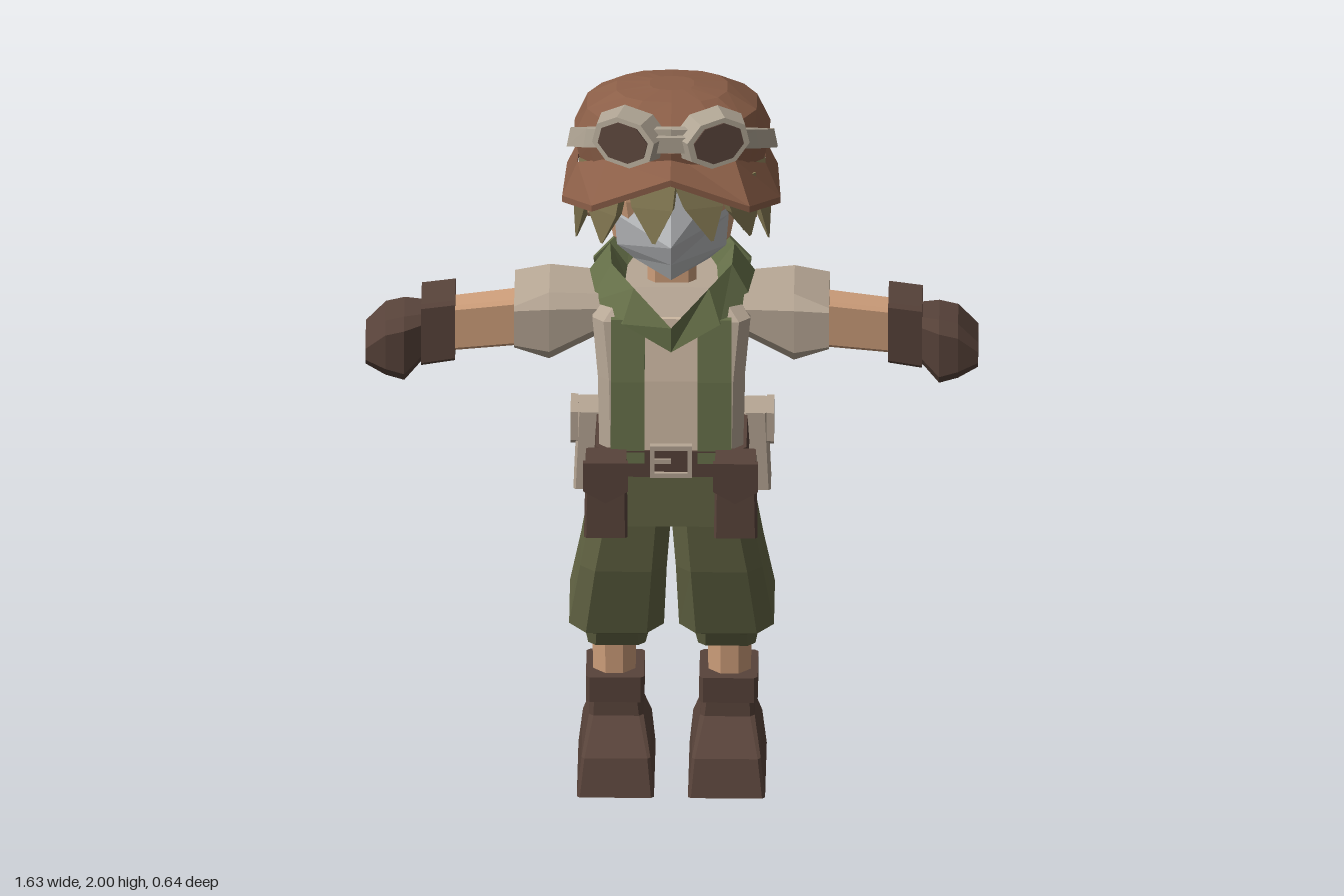
import * as THREE from 'three';

const mat = (name, color, side = THREE.FrontSide) => {
  const m = new THREE.MeshStandardMaterial({ color, side });
  m.name = name;
  return m;
};

export function createModel() {
  const root = new THREE.Group();
  const M = {
    skin: mat('skin', 0xcf9f7b), leather: mat('darkLeather', 0x58433a), hat: mat('hatBrown', 0x8c5f48),
    pants: mat('trouserGreen', 0x636544), scarf: mat('scarfGreen', 0x667049, THREE.DoubleSide),
    shirt: mat('shirtBeige', 0xb7a795), panel: mat('paleLinen', 0xcdb8a2), hair: mat('hairOlive', 0x8c8058),
    goggle: mat('goggleFrame', 0xb0a594), mask: mat('maskGrey', 0xb8babc),
  };

  // Faceted mesh from any geometry
  const add = (name, material, geo, parent = root) => {
    const g = geo.index ? geo.toNonIndexed() : geo;
    g.computeVertexNormals();
    const mesh = new THREE.Mesh(g, material);
    mesh.name = name;
    parent.add(mesh);
    return mesh;
  };
  const box = (name, m, x0, x1, y0, y1, z0, z1) => add(name, m,
    new THREE.BoxGeometry(x1 - x0, y1 - y0, z1 - z0).translate((x0 + x1) / 2, (y0 + y1) / 2, (z0 + z1) / 2));

  // Skin a list of point loops; s mirrors in x, faces are turned outward by volume sign
  const loft = (name, m, rings, s = 1, caps = true) => {
    const P = rings.map(r => r.map(p => [p[0] * s, p[1], p[2]]));
    const tris = [], n = P[0].length;
    for (let i = 0; i + 1 < P.length; i++) for (let j = 0; j < n; j++) {
      const k = (j + 1) % n;
      tris.push([P[i][j], P[i][k], P[i + 1][k]], [P[i][j], P[i + 1][k], P[i + 1][j]]);
    }
    if (caps) for (const [r, flip] of [[P[0], true], [P[P.length - 1], false]]) {
      const c = [0, 1, 2].map(a => r.reduce((t, p) => t + p[a], 0) / n);
      for (let j = 0; j < n; j++) {
        const k = (j + 1) % n;
        tris.push(flip ? [c, r[k], r[j]] : [c, r[j], r[k]]);
      }
    }
    let vol = 0;
    for (const [a, b, c] of tris) vol += a[0] * (b[1] * c[2] - b[2] * c[1])
      + a[1] * (b[2] * c[0] - b[0] * c[2]) + a[2] * (b[0] * c[1] - b[1] * c[0]);
    const out = tris.flatMap(([a, b, c]) => (vol < 0 ? [a, c, b] : [a, b, c])).flat();
    const g = new THREE.BufferGeometry();
    g.setAttribute('position', new THREE.Float32BufferAttribute(out, 3));
    return add(name, m, g);
  };
  // Chamfered rectangle loops: across y, or across x for the arms; tilt raises the back edge
  const ry = (y, x0, x1, z0, z1, c = 0.03, tilt = 0) => [
    [x0 + c, z0], [x1 - c, z0], [x1, z0 + c], [x1, z1 - c], [x1 - c, z1], [x0 + c, z1], [x0, z1 - c], [x0, z0 + c],
  ].map(([x, z]) => [x, y - tilt * z, z]);
  const rx = (x, y0, y1, z0, z1, c = 0.02) => ry(x, y0, y1, z0, z1, c).map(([a, b, d]) => [b, a, d]);
  // Full loop from a half running front to back
  const half = pts => [...pts, ...pts.slice(1, -1).reverse().map(([x, y, z]) => [-x, y, z])];

  // Torso, shirt front and braces
  loft('shirt', M.shirt, [ry(0.94, -0.19, 0.19, -0.11, 0.2), ry(1.2, -0.195, 0.195, -0.115, 0.185),
    ry(1.36, -0.21, 0.21, -0.12, 0.16), ry(1.43, -0.15, 0.15, -0.1, 0.09)]);
  const strip = (name, m, x0, x1, t) => loft(name, m, [[0.97, 0.2], [1.2, 0.185], [1.37, 0.158]].map(
    ([y, z]) => ry(y, x0, x1, z - 0.01, z + t, 0)));
  strip('shirtFront', M.panel, -0.075, 0.075, 0.005);
  for (const s of [-1, 1]) strip('brace', M.scarf, s * 0.115 - 0.045, s * 0.115 + 0.045, 0.012);

  // Scarf collar and rear drape
  const top = [[0, 1.36, 0.2], [0.1, 1.45, 0.14], [0.16, 1.48, 0.05], [0.165, 1.49, -0.06], [0.11, 1.53, -0.12], [0, 1.53, -0.13]];
  loft('scarfCollar', M.scarf, [
    half([[0, 1.29, 0.2], [0.13, 1.36, 0.175], [0.22, 1.38, 0.08], [0.225, 1.4, -0.07], [0.14, 1.4, -0.13], [0, 1.4, -0.15]]),
    half(top), half(top.map(([x, y, z]) => [x * 0.72, y - 0.06, z * 0.78]))], 1, false);
  const drape = [[0, 1.52, -0.14], [0.12, 1.52, -0.125], [0.21, 1.43, -0.105], [0.165, 1.2, -0.15], [0, 1.0, -0.175]];
  loft('scarfDrape', M.scarf, [half(drape), half(drape.map(([x, y, z]) => [x, y, z + 0.015]))]);

  // Belt and buckle
  loft('belt', M.leather, [ry(0.93, -0.205, 0.205, -0.12, 0.21), ry(1.005, -0.2, 0.2, -0.12, 0.21)]);
  const rect = (C, w, h) => new C([[-w, -h], [w, -h], [w, h], [-w, h]].map(p => new THREE.Vector2(...p)));
  const frame = rect(THREE.Shape, 0.056, 0.046);
  frame.holes.push(rect(THREE.Path, 0.044, 0.033));
  add('buckle', M.shirt, new THREE.ExtrudeGeometry(frame, { depth: 0.02, bevelEnabled: false })).position.set(0, 0.98, 0.205);
  box('bucklePlate', M.leather, -0.05, 0.05, 0.94, 1.02, 0.2, 0.214);
  box('bucklePin', M.shirt, -0.044, 0, 0.974, 0.986, 0.21, 0.222);

  // Trouser seat
  loft('trouserSeat', M.pants, [ry(0.78, -0.215, 0.215, -0.1, 0.2, 0.04), ry(0.95, -0.195, 0.195, -0.11, 0.2)]);

  for (const s of [-1, 1]) {
    // Trouser leg gathered into a cuff
    loft('trouserLeg', M.pants, [ry(0.8, 0, 0.214, -0.1, 0.2, 0.04), ry(0.64, 0.012, 0.242, -0.11, 0.185, 0.04),
      ry(0.465, 0.02, 0.272, -0.147, 0.14, 0.045, 0.18), ry(0.41, 0.06, 0.23, -0.105, 0.08, 0.03), ry(0.367, 0.07, 0.222, -0.095, 0.06, 0.02)], s);
    const shin = add('shin', M.skin, new THREE.CylinderGeometry(0.064, 0.06, 0.2, 8).rotateY(Math.PI / 8));
    shin.position.set(s * 0.153, 0.32, -0.018);
    // Boot and its cuff
    loft('boot', M.leather, [ry(0, 0.045, 0.25, -0.13, 0.232, 0.008), ry(0.1, 0.055, 0.238, -0.122, 0.2, 0.008),
      ry(0.158, 0.075, 0.22, -0.1, 0.055, 0.012), ry(0.215, 0.082, 0.218, -0.1, 0.05, 0.012)], s);
    loft('bootCuff', M.leather, [ry(0.203, 0.073, 0.228, -0.115, 0.067, 0.01), ry(0.275, 0.073, 0.228, -0.115, 0.067, 0.01)], s);

    // Belt pouches, dark in front and pale at the hip
    loft('frontPouch', M.leather, [ry(0.79, 0.115, 0.23, 0.2, 0.295, 0.006), ry(1.01, 0.118, 0.226, 0.2, 0.285, 0.006)], s);
    loft('frontPouchFlap', M.leather, [0.285, 0.304].map(z =>
      [[0.113, 1.012, z], [0.232, 1.012, z], [0.232, 0.93, z], [0.172, 0.895, z], [0.113, 0.93, z]]), s);
    loft('hipPouch', M.shirt, [ry(0.785, 0.19, 0.262, -0.133, -0.022, 0.006), ry(1.01, 0.19, 0.252, -0.133, -0.022, 0.006)], s);
    loft('hipPouchFlap', M.shirt, [0.25, 0.27].map(x =>
      [[x, 1.012, -0.137], [x, 1.012, -0.018], [x, 0.93, -0.018], [x, 0.895, -0.078], [x, 0.93, -0.137]]), s);

    // Sleeve, forearm and glove
    loft('sleeve', M.shirt, [rx(0.17, 1.3, 1.405, -0.1, 0.11, 0.03), rx(0.325, 1.222, 1.415, -0.12, 0.13, 0.035),
      rx(0.418, 1.265, 1.385, -0.12, 0.13, 0.01)], s);
    loft('forearm', M.skin, [rx(0.38, 1.238, 1.372, -0.045, 0.05, 0.01), rx(0.6, 1.215, 1.345, -0.04, 0.045, 0.01)], s);
    loft('gloveCuff', M.leather, [rx(0.575, 1.205, 1.38, -0.075, 0.083, 0.01), rx(0.665, 1.19, 1.368, -0.075, 0.083, 0.01)], s);
    loft('glove', M.leather, [rx(0.65, 1.21, 1.33, -0.06, 0.07), rx(0.71, 1.145, 1.33, -0.085, 0.1, 0.03),
      rx(0.76, 1.16, 1.318, -0.085, 0.1, 0.03), rx(0.813, 1.19, 1.262, -0.075, 0.085, 0.02)], s);
  }

  // Neck, head, ears
  loft('neck', M.skin, [ry(1.36, -0.065, 0.065, -0.06, 0.06, 0.02), ry(1.56, -0.065, 0.065, -0.06, 0.06, 0.02)]);
  loft('head', M.skin, [ry(1.5, -0.09, 0.09, -0.08, 0.09), ry(1.57, -0.155, 0.155, -0.12, 0.12, 0.05),
    ry(1.7, -0.18, 0.18, -0.14, 0.14, 0.06), ry(1.86, -0.17, 0.17, -0.14, 0.13, 0.06)]);
  for (const s of [-1, 1]) loft('ear', M.skin, [rx(0.165, 1.6, 1.68, -0.04, 0.0, 0.01), rx(0.225, 1.585, 1.705, -0.075, 0.0, 0.02)], s);

  // Pointed face mask
  loft('faceMask', M.mask, [
    [[0, 1.49, 0.175], [0.1, 1.52, 0.1], [0, 1.51, 0.05]], [[0, 1.55, 0.21], [0.145, 1.555, 0.09], [0, 1.56, 0.05]],
    [[0, 1.615, 0.245], [0.152, 1.65, 0.1], [0, 1.62, 0.05]], [[0, 1.78, 0.165], [0.13, 1.75, 0.12], [0, 1.77, 0.05]]].map(half));

  // Hair: back cap and tapered locks
  loft('hairCap', M.hair, [ry(1.58, -0.165, 0.165, -0.165, -0.06, 0.04), ry(1.68, -0.2, 0.2, -0.185, -0.05, 0.05),
    ry(1.83, -0.2, 0.2, -0.19, 0.06, 0.05)]);
  const lock = (a, b, w, t = 0.03) => {
    const l = Math.hypot(a[0], a[2]), n = [a[0] / l, a[2] / l];
    loft('hairLock', M.hair, [[0, 1], [0.5, 0.8], [1, 0.06]].map(([f, k]) => {
      const c = a.map((v, i) => v + (b[i] - v) * f);
      return [[-1, -1], [1, -1], [1, 1], [-1, 1]].map(([u, v]) => {
        const p = u * w * k / 2, q = v * t * k / 2;
        return [c[0] - n[1] * p + n[0] * q, c[1], c[2] + n[0] * p + n[1] * q];
      });
    }));
  };
  lock([-0.17, 1.8, 0.19], [-0.185, 1.6, 0.18], 0.13);
  lock([-0.05, 1.83, 0.22], [-0.045, 1.635, 0.26], 0.14);
  lock([0.06, 1.83, 0.22], [0.11, 1.64, 0.25], 0.13);
  lock([0.17, 1.8, 0.19], [0.21, 1.62, 0.17], 0.12);
  lock([0, 1.74, -0.18], [0.02, 1.52, -0.2], 0.14, 0.05);
  for (const s of [-1, 1]) {
    lock([s * 0.19, 1.78, 0.06], [s * 0.19, 1.57, 0.03], 0.06);
    lock([s * 0.2, 1.75, -0.1], [s * 0.255, 1.49, -0.1], 0.1, 0.05);
    lock([s * 0.17, 1.74, -0.15], [s * 0.19, 1.53, -0.17], 0.12, 0.05);
    lock([s * 0.1, 1.74, -0.18], [s * 0.11, 1.49, -0.225], 0.14, 0.05);
  }

  // Cap crown: squarish ovals sloping down to the back
  const oval = (yF, yB, r, zF, zB) => Array.from({ length: 14 }, (_, i) => {
    const a = i / 14 * Math.PI * 2, soft = v => Math.sign(v) * Math.abs(v) ** 0.8;
    const z = (zF + zB) / 2 + soft(Math.cos(a)) * (zF - zB) / 2;
    return [soft(Math.sin(a)) * r, yB + (yF - yB) * (z - zB) / (zF - zB), z];
  });
  loft('hatCrown', M.hat, [oval(1.84, 1.7, 0.25, 0.235, -0.29), oval(1.89, 1.79, 0.265, 0.24, -0.315),
    oval(1.95, 1.9, 0.23, 0.2, -0.235), oval(1.985, 1.965, 0.15, 0.12, -0.13), oval(1.993, 1.988, 0.06, 0.06, -0.04)]);

  // Peaked brim
  const outer = half([[0, 1.845, 0.31], [0.21, 1.765, 0.3], [0.29, 1.715, 0.13], [0.28, 1.705, -0.1], [0.23, 1.705, -0.21], [0.1, 1.71, -0.295], [0, 1.71, -0.305]]);
  const inner = half([[0, 1.88, 0.21], [0.17, 1.85, 0.19], [0.25, 1.8, 0.1], [0.245, 1.78, -0.1], [0.2, 1.76, -0.19], [0.09, 1.76, -0.25], [0, 1.76, -0.26]]);
  const lower = r => r.map(([x, y, z]) => [x, y - 0.018, z]);
  loft('hatBrim', M.hat, [inner, outer, lower(outer), lower(inner), inner], 1, false);

  // Goggle strap
  const band = (r, dy, d) => oval(1.935 + dy, 1.68 + dy, r, 0.235 + d, -0.315 - d);
  const strap = [band(0.285, -0.025, 0.015), band(0.275, 0.028, 0.01), band(0.255, 0.028, -0.01), band(0.265, -0.025, -0.005)];
  loft('goggleStrap', M.goggle, [...strap, strap[0]], 1, false);

  // Goggles
  for (const s of [-1, 1]) {
    const eye = new THREE.Group();
    eye.name = 'goggleEye';
    const disc = (name, m, r, r2, w, h, d, z) => add(name, m, new THREE.CylinderGeometry(r, r2, d, 8)
      .rotateY(Math.PI / 8).rotateX(Math.PI / 2).scale(w, h, 1).translate(0, 0, z), eye);
    disc('goggleRim', M.goggle, 0.085, 0.1, 1.05, 0.8, 0.08, 0);
    disc('goggleLens', M.leather, 0.068, 0.068, 1.05, 0.8, 0.008, 0.041);
    eye.position.set(s * 0.115, 1.925, 0.222);
    eye.rotation.set(-0.15, s * 0.3, s * 0.25);
    root.add(eye);
  }
  box('goggleBridge', M.goggle, -0.045, 0.045, 1.9, 1.945, 0.2, 0.258);

  return root;
}
